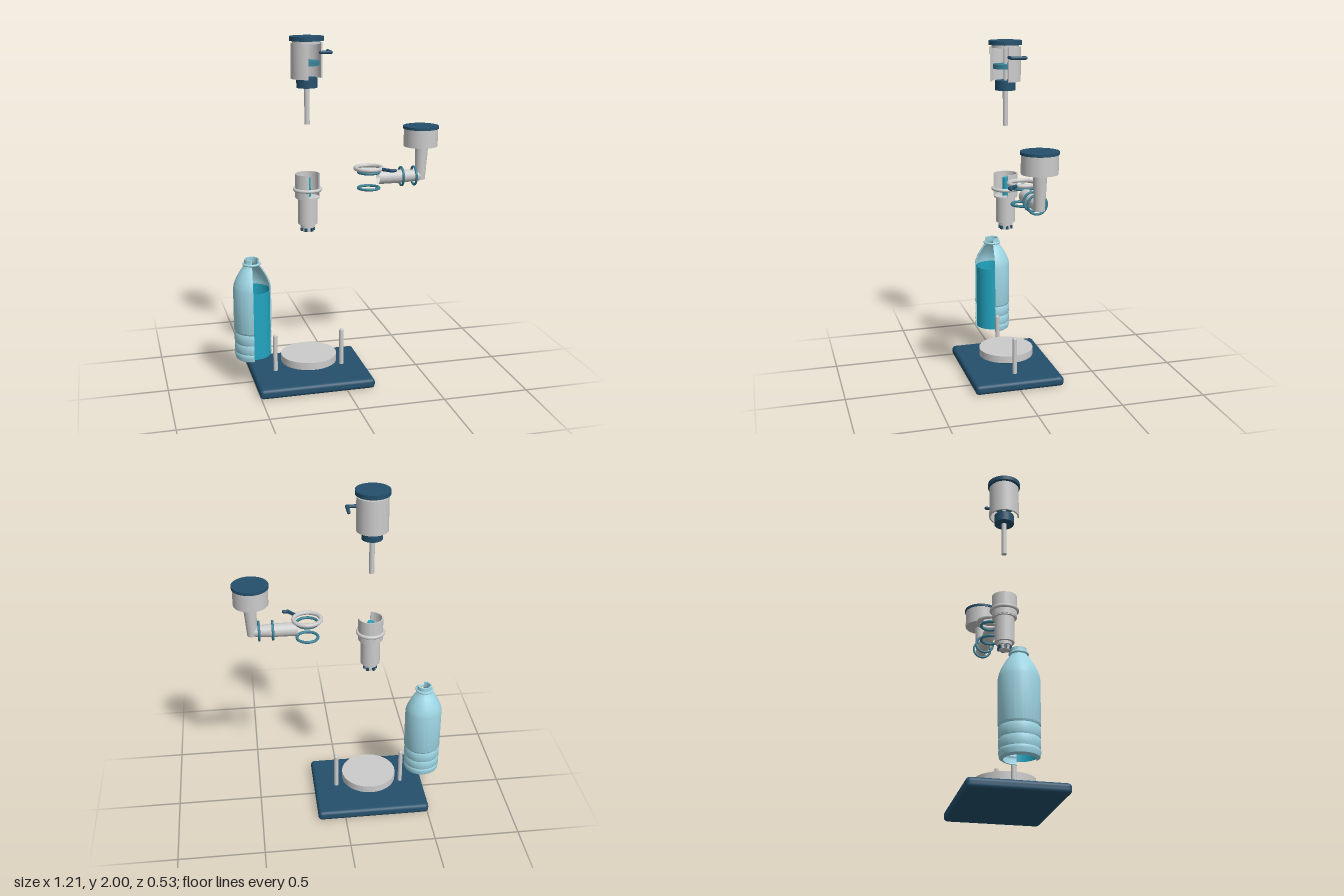
import * as THREE from 'three';
import { toCreasedNormals } from 'three/addons/utils/BufferGeometryUtils.js';
import { RoundedBoxGeometry } from 'three/addons/geometries/RoundedBoxGeometry.js';

const mat = (color) => new THREE.MeshStandardMaterial({ color, side: THREE.DoubleSide });
const V = (x, y, z) => new THREE.Vector3(x, y, z);

export function createModel() {
  const root = new THREE.Group();
  const grey = mat(0xcccccc), navy = mat(0x24506c), teal = mat(0x22a5c0);
  const paleBlue = mat(0x9ed6e4), seal = mat(0x3a8298);

  const group = (name, x) => {
    const g = new THREE.Group();
    g.name = name;
    g.position.x = x;
    root.add(g);
    return g;
  };
  const add = (parent, name, geometry, material, x = 0, y = 0, z = 0) => {
    const m = new THREE.Mesh(geometry, material);
    m.name = name;
    m.position.set(x, y, z);
    parent.add(m);
    return m;
  };
  // upright cylinder between two heights
  const cyl = (parent, name, r, y0, y1, material, x = 0, z = 0, open = false) =>
    add(parent, name, new THREE.CylinderGeometry(r, r, y1 - y0, 40, 1, open), material, x, (y0 + y1) / 2, z);
  const ring = (parent, name, r, tube, y, material) => {
    const m = add(parent, name, new THREE.TorusGeometry(r, tube, 12, 48), material, 0, y, 0);
    m.rotation.x = Math.PI / 2;
    return m;
  };
  // walled body of revolution with its front-left quarter cut away
  const cutShell = (parent, name, outer, wall, material) => {
    const start = 1.5, sweep = 4.68;
    const inner = outer.map(([r, y]) => [r - wall, y]).reverse();
    const profile = [...outer, ...inner].map(([r, y]) => new THREE.Vector2(r, y));
    const body = new THREE.LatheGeometry([...profile, profile[0]], 56, start, sweep);
    add(parent, name, toCreasedNormals(body, 0.5), material);
    for (const angle of [start, start + sweep]) {
      const face = add(parent, name + 'CutFace', new THREE.ShapeGeometry(new THREE.Shape(profile)), material);
      face.rotation.y = angle - Math.PI / 2;
    }
  };
  // bent bar with rounded corner and closed ends
  const lever = (parent, name, pts, r) => {
    const path = new THREE.CurvePath();
    for (let i = 1; i < pts.length; i++) path.add(new THREE.LineCurve3(pts[i - 1], pts[i]));
    add(parent, name, new THREE.TubeGeometry(path, 24, r, 12), navy);
    for (const p of pts) add(parent, name + 'Joint', new THREE.SphereGeometry(r, 12, 8), navy, p.x, p.y, p.z);
  };

  // Base with turntable and locating pins
  const base = group('base', -0.171);
  add(base, 'basePlate', new RoundedBoxGeometry(0.672, 0.058, 0.534, 4, 0.022), navy, 0, 0.031, 0);
  cyl(base, 'turntableFoot', 0.06, 0.055, 0.112, navy);
  cyl(base, 'turntable', 0.163, 0.11, 0.153, grey);
  for (const s of [-1, 1]) {
    cyl(base, 'locatingPin', 0.013, 0.055, 0.275, grey, s * 0.2);
    add(base, 'pinTip', new THREE.SphereGeometry(0.013, 16, 10), grey, s * 0.2, 0.272, 0);
  }

  // Cutaway bottle with its contents
  const bottle = group('bottle', -0.5);
  cutShell(bottle, 'bottleShell', [
    [0.09, 0.16], [0.102, 0.168], [0.107, 0.19], [0.107, 0.2], [0.103, 0.208], [0.107, 0.218],
    [0.107, 0.255], [0.103, 0.264], [0.107, 0.273], [0.107, 0.318], [0.103, 0.327], [0.109, 0.338],
    [0.109, 0.585], [0.104, 0.61], [0.093, 0.64], [0.077, 0.67], [0.06, 0.698], [0.046, 0.715],
    [0.042, 0.726], [0.042, 0.757],
  ], 0.008, paleBlue);
  ring(bottle, 'neckRing', 0.046, 0.007, 0.728, paleBlue);
  cyl(bottle, 'contents', 0.1, 0.18, 0.575, teal, 0, 0, true);

  // Lower valve body, cup cut open to show the core
  const valve = group('valveBody', -0.17);
  cutShell(valve, 'valveCup', [[0.071, 1.1], [0.071, 1.235]], 0.007, grey);
  cyl(valve, 'valveCupFloor', 0.068, 1.095, 1.103, grey);
  ring(valve, 'valveCollar', 0.074, 0.01, 1.145, grey);
  cyl(valve, 'valveCore', 0.018, 1.1, 1.21, teal);
  cyl(valve, 'valveBarrel', 0.056, 0.945, 1.1, grey);
  cyl(valve, 'valveNeck', 0.031, 0.9, 0.946, grey);
  cyl(valve, 'valveNeckFlange', 0.042, 0.927, 0.946, grey);
  for (let i = 0; i < 6; i++) {
    const a = (i * Math.PI) / 3;
    add(valve, 'neckStud', new THREE.BoxGeometry(0.014, 0.018, 0.014), navy,
      0.034 * Math.cos(a), 0.912, 0.034 * Math.sin(a)).rotation.y = -a;
  }

  // Upper pump head with cutaway housing, piston and lever
  const pump = group('pumpHead', -0.17);
  cyl(pump, 'pumpCap', 0.096, 1.976, 2.0, navy);
  cyl(pump, 'capSpigot', 0.078, 1.96, 1.978, grey);
  cutShell(pump, 'pumpHousing', [[0.088, 1.77], [0.088, 1.965]], 0.008, grey);
  cyl(pump, 'piston', 0.07, 1.842, 1.868, seal);
  cyl(pump, 'pistonShaft', 0.011, 1.76, 1.965, grey);
  cyl(pump, 'pumpPlug', 0.058, 1.72, 1.775, navy);
  cyl(pump, 'dipRod', 0.015, 1.515, 1.73, grey);
  lever(pump, 'pumpLever', [V(0.08, 1.91, 0), V(0.138, 1.91, 0), V(0.138, 1.91, -0.08)], 0.01);

  // Clamp rings and latch
  const clamp = group('clampRings', 0.19);
  ring(clamp, 'clampRing', 0.077, 0.012, 1.248, grey);
  ring(clamp, 'upperSeal', 0.06, 0.008, 1.225, seal);
  ring(clamp, 'lowerSeal', 0.06, 0.008, 1.132, seal);
  lever(clamp, 'latch', [V(0.062, 1.248, 0.055), V(0.1, 1.248, 0.103), V(0.125, 1.248, 0.103)], 0.01);

  // Side arm: open pipe, taper, elbow and closed cup
  const arm = group('sideArm', 0.5);
  const pipe = (name, rLeft, rRight, x0, x1, open) => {
    const m = add(arm, name, new THREE.CylinderGeometry(rRight, rLeft, x1 - x0, 36, 1, open), grey, (x0 + x1) / 2, 1.19, 0);
    m.rotation.z = -Math.PI / 2;
  };
  pipe('armPipe', 0.039, 0.038, -0.255, -0.11, true);
  pipe('armTaper', 0.038, 0.03, -0.11, 0, false);
  for (const x of [-0.115, -0.038]) {
    add(arm, 'armSeal', new THREE.TorusGeometry(0.052, 0.007, 12, 40), seal, x, 1.19, 0).rotation.y = Math.PI / 2;
  }
  const riser = add(arm, 'riserPipe', new THREE.CylinderGeometry(0.037, 0.029, 0.185, 36), grey, 0.003, 1.26, 0);
  riser.rotation.z = -0.04;
  add(arm, 'elbow', new THREE.SphereGeometry(0.03, 24, 16), grey, 0, 1.19, 0);
  cyl(arm, 'cupStem', 0.014, 1.345, 1.366, teal);
  cyl(arm, 'armCup', 0.098, 1.363, 1.468, grey);
  cyl(arm, 'cupLid', 0.103, 1.466, 1.481, navy);

  return root;
}
